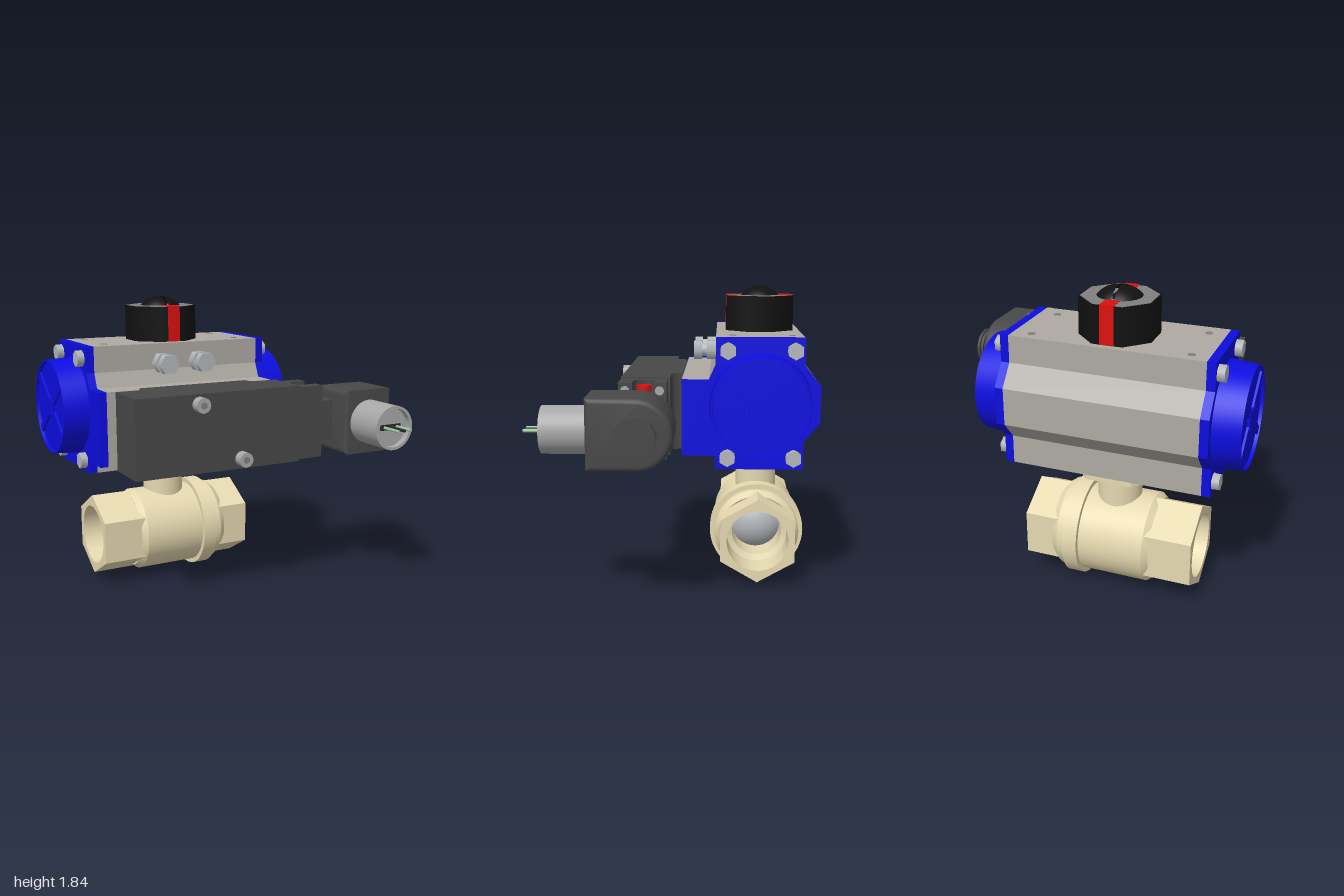
import * as THREE from 'three';
import { toCreasedNormals } from 'three/addons/utils/BufferGeometryUtils.js';

const mat = (color) => new THREE.MeshStandardMaterial({ color });
const BLUE = mat(0x0d0de0), ALU = mat(0xaeaaa3), BRASS = mat(0xe6d9b0), DARK = mat(0x484848),
  BLACK = mat(0x111111), STEEL = mat(0xb4b8bc), RED = mat(0xdd1010), PLASTIC = mat(0xa8a8a8),
  GREY = mat(0x808080), GREEN = mat(0x9cc8a0), HOLE = mat(0x2a2a2a);

export function createModel() {
  const root = new THREE.Group();
  root.name = 'actuatedBallValve';

  const add = (name, geo, m, x = 0, y = 0, z = 0, parent = root) => {
    const mesh = new THREE.Mesh(geo, m);
    mesh.name = name;
    mesh.position.set(x, y, z);
    parent.add(mesh);
    return mesh;
  };
  // box given by its min and max corners
  const box = (name, m, a, b, parent) => add(name,
    new THREE.BoxGeometry(b[0] - a[0], b[1] - a[1], b[2] - a[2]), m,
    (a[0] + b[0]) / 2, (a[1] + b[1]) / 2, (a[2] + b[2]) / 2, parent);
  const orient = (g, axis) => axis === 'x' ? g.rotateZ(-Math.PI / 2) : axis === 'z' ? g.rotateX(Math.PI / 2) : g;
  // cylinder running from the given point along +axis
  const rod = (name, m, axis, r, len, x, y, z, sides = 32, parent = root, turn = 0) => {
    const g = new THREE.CylinderGeometry(r, r, len, sides).rotateY(turn).translate(0, len / 2, 0);
    return add(name, orient(g, axis), m, x, y, z, parent);
  };
  const lathe = (pts, axis) => orient(toCreasedNormals(
    new THREE.LatheGeometry(pts.map(p => new THREE.Vector2(...p)), 64), 0.5), axis);
  const poly = (pts) => new THREE.Shape(pts.map(p => new THREE.Vector2(...p)));
  const extrude = (shape, depth, opts = {}) =>
    new THREE.ExtrudeGeometry(shape, { depth, bevelEnabled: false, curveSegments: 24, ...opts });
  // extrusion of a (-z, y) outline along x
  const alongX = (shape, x0, x1) => extrude(shape, x1 - x0).rotateY(Math.PI / 2).translate(x0, 0, 0);
  // extrusion of an (x, -z) outline along y
  const alongY = (shape, y0, y1) => extrude(shape, y1 - y0).rotateX(-Math.PI / 2).translate(0, y0, 0);
  const circle = (x, y, r) => new THREE.Path().absarc(x, y, r, 0, Math.PI * 2, true);

  // actuator housing and its end plates
  const outline = [[0.22, 0.78], [0.74, 0.78], [0.74, 0.95], [0.835, 1.06], [0.835, 1.28], [0.74, 1.40],
    [0.74, 1.56], [0.22, 1.56], [0.22, 1.40], [0.18, 1.31], [0.02, 1.31], [0.02, 0.86], [0.22, 0.86]];
  add('actuatorBody', alongX(poly(outline.map(([a, b]) => [a, b])), -0.79, 0.33), ALU);
  add('endPlateRight', alongX(poly(outline), -0.84, -0.79), BLUE);
  add('endPlateLeft', alongX(poly(outline), 0.33, 0.38), BLUE);
  for (const x of [-0.69, 0.22]) for (const z of [-0.67, -0.32])
    rod('topMountHole', GREY, 'y', 0.022, 0.002, x, 1.56, z, 24);

  // round end caps with cross ribs and corner bolts
  for (const [x, turn] of [[0.38, 0], [-0.84, Math.PI]]) {
    const end = new THREE.Group();
    end.name = turn ? 'endCapRight' : 'endCapLeft';
    end.position.set(x, 1.17, -0.487);
    end.rotation.y = turn;
    root.add(end);
    add('capShell', lathe([[0.303, 0], [0.292, 0.158], [0.282, 0.158], [0.28, 0.138], [0, 0.138]], 'x'),
      BLUE, 0, 0, 0, end);
    box('capHub', BLUE, [0.13, -0.05, -0.07], [0.156, 0.05, 0.07], end);
    for (const s of [-1, 1])
      add('capRib', new THREE.BoxGeometry(0.022, 0.05, 0.555), BLUE, 0.14, 0, 0, end).rotation.x = s * 0.68;
    for (const z of [-0.195, 0.195]) for (const y of [-0.318, 0.315]) {
      rod('endBoltWasher', STEEL, 'x', 0.046, 0.008, 0, y, z, 24, end);
      rod('endBolt', STEEL, 'x', 0.05, 0.042, 0, y, z, 6, end, Math.PI / 6);
    }
  }

  // position indicator
  const ix = -0.23, iz = -0.49, oct = 0.21 / Math.cos(Math.PI / 8);
  rod('indicatorHousing', BLACK, 'y', oct, 0.218, ix, 1.56, iz, 8, root, Math.PI / 8);
  rod('indicatorTop', GREY, 'y', oct - 0.01, 0.003, ix, 1.777, iz, 8, root, Math.PI / 8);
  for (const s of [-1, 1])
    box('indicatorStripe', RED, [ix - 0.04, 1.56, iz + s * 0.1625 - 0.05], [ix + 0.04, 1.783, iz + s * 0.1625 + 0.05]);
  const domeMat = new THREE.MeshStandardMaterial({ color: 0x111111, side: THREE.DoubleSide });
  for (const s of [-1, 1])
    add('indicatorDomeHalf', new THREE.SphereGeometry(0.158, 24, 10,
      s > 0 ? Math.PI / 2 : -Math.PI / 2, Math.PI, 0, 0.863), domeMat, ix + s * 0.008, 1.677, iz);
  box('indicatorSlotFloor', BLACK, [ix - 0.009, 1.77, iz - 0.09], [ix + 0.009, 1.805, iz + 0.09]);

  // travel-stop screws
  for (const x of [-0.35, -0.1]) {
    rod('stopNut', STEEL, 'z', 0.065, 0.06, x, 1.44, -0.22, 6, root, Math.PI / 6);
    rod('stopShank', STEEL, 'z', 0.042, 0.1, x, 1.44, -0.2, 24);
    rod('stopHead', STEEL, 'z', 0.065, 0.05, x, 1.44, -0.13, 6, root, Math.PI / 6);
  }

  // pilot valve block with filleted mounting boss
  const block = poly([[-0.76, -0.34], [0.325, -0.34], [0.325, -0.05], [0.2, -0.05]]);
  block.quadraticCurveTo(0.14, -0.05, 0.14, 0.02);
  block.lineTo(-0.58, 0.02);
  block.quadraticCurveTo(-0.58, -0.05, -0.64, -0.05);
  block.lineTo(-0.76, -0.05);
  add('pilotBlock', alongY(block, 0.848, 1.32), DARK);
  box('pilotEnd', DARK, [0.32, 0.86, 0.06], [0.49, 1.25, 0.34]);
  const notch = poly([[0.32, -0.34], [0.49, -0.34], [0.49, -0.258], [0.415, -0.258]]);
  notch.absarc(0.415, -0.195, 0.063, -Math.PI / 2, Math.PI / 2, true);
  notch.lineTo(0.49, -0.132);
  notch.lineTo(0.49, -0.06);
  notch.lineTo(0.32, -0.06);
  add('pilotEndTop', alongY(notch, 1.25, 1.31), DARK);
  rod('overrideButton', RED, 'y', 0.044, 0.035, 0.415, 1.25, 0.195);
  for (const [x, y] of [[-0.36, 1.26], [-0.08, 0.91]]) {
    rod('blockScrew', PLASTIC, 'z', 0.045, 0.06, x, y, 0.34);
    rod('blockScrewSocket', GREY, 'z', 0.022, 0.002, x, y, 0.4, 6);
  }
  for (const [y, z] of [[1.265, 0.1], [0.905, 0.1], [1.265, 0.3], [0.905, 0.3]])
    rod('endScrew', PLASTIC, 'x', 0.026, 0.008, 0.49, y, z, 20);
  for (const x of [-0.41, -0.08, 0.25])
    add('exhaustPort', new THREE.CylinderGeometry(0.07, 0.07, 0.004, 32), HOLE, x, 0.847, 0.19);
  box('coilNeck', DARK, [0.49, 0.96, 0.06], [0.58, 1.21, 0.33]);

  // solenoid coil
  const coil = poly([[-0.475, 0.885], [-0.2, 0.885]]);
  coil.absarc(-0.2, 1.085, 0.2, -Math.PI / 2, Math.PI / 2, false);
  coil.lineTo(-0.475, 1.285);
  add('coil', toCreasedNormals(extrude(coil, 0.285, { bevelEnabled: true, bevelSize: 0.03, bevelOffset: -0.03,
    bevelThickness: 0.03, bevelSegments: 4 }), 0.5).rotateY(Math.PI / 2).translate(0.603, 0, 0), DARK);

  // ribbed coil nut
  rod('coilNutCore', BLACK, 'x', 0.075, 0.075, 0.92, 1.085, 0.2);
  for (const x of [0.932, 0.958, 0.983])
    rod('coilNutRib', DARK, 'x', 0.115, 0.016, x, 1.085, 0.2, 16);

  // plug with pins
  add('plug', lathe([[0.135, 0], [0.135, 0.26], [0.118, 0.26], [0.118, 0.22], [0, 0.22]], 'z'),
    PLASTIC, 0.745, 1.085, 0.472);
  box('pinSlot', HOLE, [0.67, 1.068, 0.68], [0.82, 1.102, 0.698]);
  for (const [i, m] of [GREEN, HOLE, GREEN].entries())
    rod('pin', m, 'z', 0.009, 0.15, 0.7 + i * 0.045, 1.085, 0.68, 12);

  // ball valve body, ball and hexagonal ends
  const vx = -0.23, vy = 0.297, vz = -0.485;
  add('valveBody', lathe([[0.155, -0.22], [0.24, -0.26], [0.268, -0.225], [0.268, 0.165], [0.297, 0.165],
    [0.297, 0.255], [0.268, 0.255], [0.268, 0.30], [0.24, 0.34], [0.155, 0.30], [0.155, -0.22]], 'x'),
    BRASS, vx, vy, vz);
  add('ball', new THREE.SphereGeometry(0.2, 40, 24), STEEL, vx, vy, vz);
  const hex = poly([0, 1, 2, 3, 4, 5].map(i => {
    const a = Math.PI / 2 + i * Math.PI / 3;
    return [0.265 * Math.cos(a), 0.265 * Math.sin(a)];
  }));
  hex.holes.push(circle(0, 0, 0.19));
  add('hexEndRight', toCreasedNormals(alongX(hex, -0.51, -0.23), 0.5), BRASS, vx, vy, vz);
  add('hexEndLeft', toCreasedNormals(alongX(hex, 0.29, 0.51), 0.5), BRASS, vx, vy, vz);

  // stem and mounting pad
  rod('stemNeck', BRASS, 'y', 0.131, 0.22, vx - 0.005, 0.51, vz, 48);
  const h = 0.2, c = 0.135;
  const pad = poly([[-c, -h], [c, -h], [h, -c], [h, c], [c, h], [-c, h], [-h, c], [-h, -c]]);
  for (const a of [-1, 1]) for (const b of [-1, 1]) pad.holes.push(circle(a * 0.135, b * 0.135, 0.022));
  add('mountingPad', toCreasedNormals(alongY(pad, 0.72, 0.78), 0.5), BRASS, vx - 0.005, 0, vz);

  return root;
}
